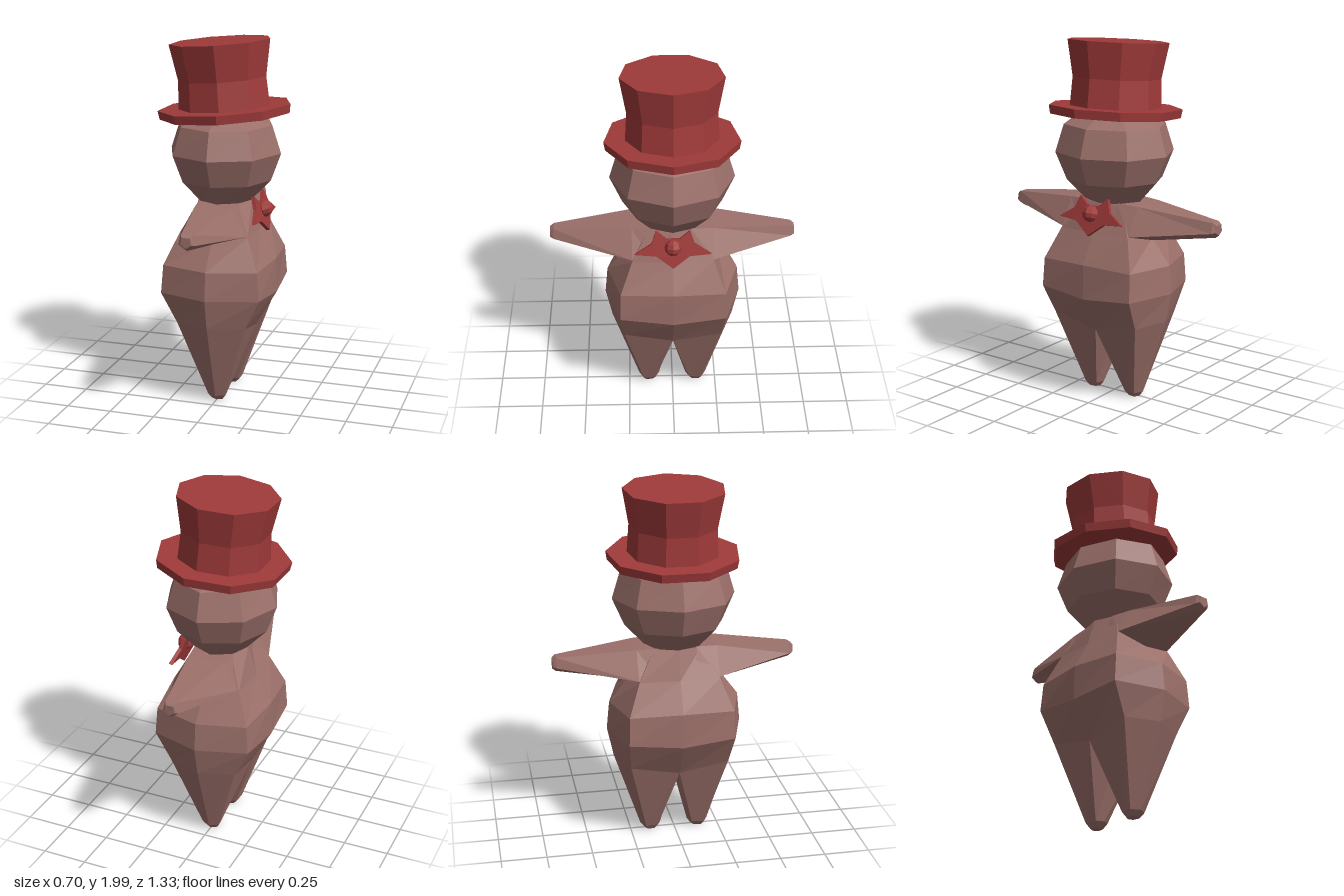
import * as THREE from 'three';

const skin = new THREE.MeshStandardMaterial({ color: 0x9c706a, flatShading: true, side: THREE.DoubleSide });
const red = new THREE.MeshStandardMaterial({ color: 0xa03a3a, flatShading: true, side: THREE.DoubleSide });

// Joins closed rings of [x, y, z] points and caps either end
function loft(rings, capStart, capEnd) {
  const pos = [];
  const tri = (a, b, c) => pos.push(...a, ...b, ...c);
  const mid = (r) => [0, 1, 2].map((k) => r.reduce((s, p) => s + p[k], 0) / r.length);
  const n = rings[0].length;
  for (let j = 0; j < n; j++) {
    const k = (j + 1) % n;
    for (let i = 0; i < rings.length - 1; i++) {
      const a = rings[i][j], b = rings[i][k], c = rings[i + 1][k], d = rings[i + 1][j];
      tri(a, d, b);
      tri(b, d, c);
    }
    const first = rings[0], last = rings[rings.length - 1];
    if (capStart) tri(mid(first), first[j], first[k]);
    if (capEnd) tri(mid(last), last[k], last[j]);
  }
  const g = new THREE.BufferGeometry();
  g.setAttribute('position', new THREE.Float32BufferAttribute(pos, 3));
  g.computeVertexNormals();
  return g;
}

// Mirrors rings across z, keeping the faces outward
const mirrorZ = (rings) => rings.map((r) => r.map(([x, y, z]) => [x, y, -z]).reverse());

// Eight-point ring from a front point, a corner and a side point
function ring([fx, fy], [cx, cy, cz], [sy, sz]) {
  return [[fx, fy, 0], [cx, cy, cz], [0, sy, sz], [-cx, cy, cz],
    [-fx, fy, 0], [-cx, cy, -cz], [0, sy, -sz], [cx, cy, -cz]];
}

export function createModel() {
  const model = new THREE.Group();
  const add = (name, geometry, material, parent = model) => {
    const m = new THREE.Mesh(geometry, material);
    m.name = name;
    parent.add(m);
    return m;
  };

  // Torso, from hips to neck
  add('torso', loft([
    ring([0.18, 0.42], [0.19, 0.475, 0.27], [0.48, 0.34]),
    ring([0.295, 0.62], [0.275, 0.645, 0.29], [0.645, 0.375]),
    ring([0.29, 0.81], [0.262, 0.80, 0.285], [0.80, 0.36]),
    ring([0.20, 0.97], [0.19, 0.97, 0.22], [0.94, 0.25]),
    ring([0.15, 1.125], [0.11, 1.125, 0.13], [1.125, 0.17]),
  ], false, true), skin);

  // Head, an eight-sided ball
  const headRings = [[1.12, 0.14, 0.16], [1.24, 0.255, 0.27], [1.39, 0.31, 0.335],
    [1.54, 0.26, 0.29], [1.60, 0.13, 0.15]]
    .map(([y, rx, rz]) => ring([rx, y], [rx * 0.707, y, rz * 0.707], [y, rz]));
  add('head', loft(headRings, true, true), skin);

  // Arms, tapering outwards to a small blunt end
  const armRing = (z, top, topX, sideY, sideX, low) => [
    [-topX, top, z], [topX, top, z], [sideX, sideY, z], [0, low, z], [-sideX, sideY, z]];
  const arm = [
    armRing(0.10, 1.13, 0.115, 0.965, 0.19, 0.91),
    armRing(0.22, 1.125, 0.10, 0.975, 0.183, 0.92),
    armRing(0.645, 1.085, 0.03, 1.03, 0.045, 1.0),
    armRing(0.665, 1.072, 0.022, 1.035, 0.03, 1.015),
  ];
  add('leftArm', loft(arm, true, true), skin);
  add('rightArm', loft(mirrorZ(arm), true, true), skin);

  // Legs, tapering to small feet
  const footRing = (y, s) => [[0.04, -0.035], [0.048, 0.03], [0, 0.055],
    [-0.048, 0.03], [-0.04, -0.035], [0, -0.055]].map(([x, z]) => [x * s, y, 0.135 + z * s]);
  const leg = [
    footRing(0.012, 0.6),
    footRing(0.042, 1.05),
    [[0.18, 0.42, 0], [0.19, 0.475, 0.27], [0, 0.48, 0.34],
      [-0.19, 0.475, 0.27], [-0.18, 0.42, 0], [0, 0.34, 0]],
  ];
  add('leftLeg', loft(leg, true, false), skin);
  add('rightLeg', loft(mirrorZ(leg), true, false), skin);

  // Top hat, nine-sided and slightly tilted
  const hat = new THREE.Group();
  hat.name = 'topHat';
  hat.position.set(0, 1.585, 0);
  hat.rotation.z = 0.075;
  model.add(hat);
  const lathe = (pts) => new THREE.LatheGeometry(
    pts.map(([r, y]) => new THREE.Vector2(r, y)), 9, Math.PI / 2);
  add('hatBrim', lathe([[0, 0], [0.355, 0], [0.363, 0.047], [0, 0.047]]), red, hat);
  add('hatCrown', lathe([[0.25, 0.04], [0.24, 0.2], [0.275, 0.395], [0, 0.395]]), red, hat);

  // Bow tie: five-pointed ribbon with a round knot, leaning on the chest
  const bow = new THREE.Group();
  bow.name = 'bowTie';
  bow.position.set(0.2, 1.065, 0);
  bow.rotation.z = 0.3;
  model.add(bow);
  const half = [[0.035, 0.055], [0.09, 0.10], [0.115, 0.03], [0.205, -0.03], [0.09, -0.04]];
  const outline = [...half, [0, -0.11], ...half.map(([x, y]) => [-x, y]).reverse()];
  const ribbon = new THREE.ExtrudeGeometry(
    new THREE.Shape(outline.map(([x, y]) => new THREE.Vector2(x, y))),
    { depth: 0.02, bevelEnabled: false });
  ribbon.rotateY(Math.PI / 2);
  add('bowRibbon', ribbon, red, bow);
  const knot = add('bowKnot', new THREE.SphereGeometry(0.046, 8, 6), red, bow);
  knot.position.set(0.025, 0.01, 0);

  return model;
}
